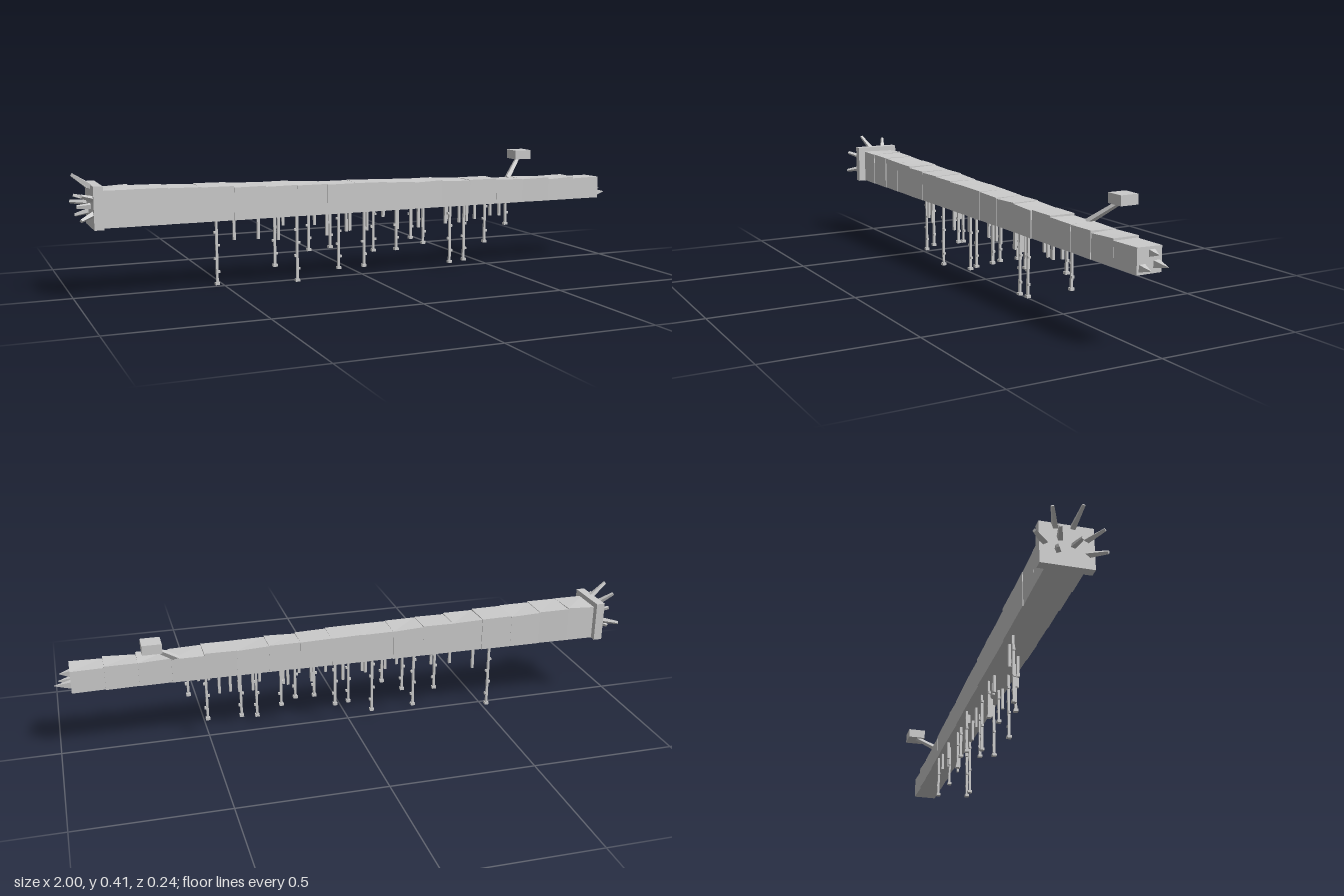
import * as THREE from 'three';

const bark = new THREE.MeshStandardMaterial({ color: 0xcccccc });
bark.name = 'pale grey';
bark.flatShading = true;

let seed = 7;
const rnd = () => (seed = (seed * 16807) % 2147483647) / 2147483647;
const jitter = (a) => (rnd() * 2 - 1) * a;

function add(parent, geo, name) {
  const m = new THREE.Mesh(geo, bark);
  m.name = name;
  parent.add(m);
  return m;
}

function box(parent, name, w, h, d, x, y, z) {
  return add(parent, new THREE.BoxGeometry(w, h, d).translate(x, y, z), name);
}

// four-sided tapered bar between two points
function bar(parent, name, from, to, r0, r1) {
  const a = new THREE.Vector3(...from), b = new THREE.Vector3(...to);
  const dir = b.clone().sub(a);
  const geo = new THREE.CylinderGeometry(r1, r0, dir.length(), 4).rotateY(Math.PI / 4);
  const m = add(parent, geo, name);
  m.position.copy(a).add(b).multiplyScalar(0.5);
  m.quaternion.setFromUnitVectors(new THREE.Vector3(0, 1, 0), dir.normalize());
  return m;
}

// one slightly skewed block of the trunk
function trunkBlock(parent, x0, x1, t) {
  const top = 0.352 - 0.042 * t, half = 0.058 - 0.016 * t;
  const geo = new THREE.BoxGeometry(1, 1, 1);
  const p = geo.attributes.position;
  const tops = [0, 1, 2, 3].map(() => top + jitter(0.003));
  const sides = [0, 1, 2, 3].map(() => half + jitter(0.0022));
  for (let i = 0; i < p.count; i++) {
    const right = p.getX(i) > 0, front = p.getZ(i) > 0;
    const k = (right ? 1 : 0) + (front ? 2 : 0);
    p.setXYZ(i, right ? x1 : x0, p.getY(i) > 0 ? tops[k] : 0.231,
      0.012 + (front ? 1 : -1) * sides[k]);
  }
  geo.computeVertexNormals();
  add(parent, geo, 'trunkBlock');
}

// hanging strand with small nodules and a knob at its end
function vine(parent, x, bottom, z) {
  const g = new THREE.Group();
  g.name = 'vine';
  parent.add(g);
  box(g, 'strand', 0.008, 0.235 - bottom, 0.008, x, (0.235 + bottom) / 2, z);
  box(g, 'knob', 0.015, 0.009, 0.015, x, bottom + 0.0045, z);
  let side = 1;
  for (let y = bottom + 0.045; y < 0.21; y += 0.045) {
    box(g, 'nodule', 0.008, 0.008, 0.009, x + side * 0.006, y, z);
    side = -side;
  }
}

export function createModel() {
  const model = new THREE.Group();
  model.name = 'fallenLog';

  // trunk
  const trunk = new THREE.Group();
  trunk.name = 'trunk';
  model.add(trunk);
  const n = 17, start = -0.92, end = 0.945, step = (end - start) / n;
  for (let i = 0; i < n; i++) {
    trunkBlock(trunk, start + i * step, start + (i + 1) * step, i / (n - 1));
  }

  // root collar and splayed roots, as [y, z, x] of each tip
  box(model, 'rootCollar', 0.03, 0.138, 0.165, -0.925, 0.299, 0.013);
  const tips = [
    [0.403, 0.047, -0.997], [0.392, -0.042, -0.985], [0.3, -0.097, -0.985],
    [0.266, 0.119, -0.983], [0.342, 0.114, -0.98],
    [0.3, 0.045, -0.985], [0.33, -0.02, -0.985], [0.265, -0.03, -0.98],
  ];
  for (const [y, z, x] of tips) {
    bar(model, 'root', [-0.93, 0.3 + (y - 0.3) * 0.55, 0.012 + (z - 0.012) * 0.55],
      [x, y, z], 0.011, 0.006);
  }

  // splinters at the broken end
  for (const [y, z, x] of [[0.29, 0.004, 0.978], [0.25, 0.037, 0.985], [0.257, -0.013, 0.999]]) {
    bar(model, 'splinter', [0.94, y, z], [x, y, z], 0.017, 0.001);
  }

  // twig with a leaf clump
  bar(model, 'twig', [0.595, 0.312, -0.02], [0.68, 0.385, -0.085], 0.011, 0.008);
  box(model, 'leafClump', 0.065, 0.033, 0.064, 0.683, 0.393, -0.087);

  // long vines
  const vines = [
    [-0.52, 0.002, -0.023], [-0.335, 0.06, 0.038], [-0.255, 0.002, 0.038],
    [-0.195, 0.095, -0.013], [-0.135, 0.11, 0.038], [-0.085, 0.024, -0.008],
    [-0.015, 0.038, 0.054], [0.055, 0.073, -0.026], [0.115, 0.085, 0.038],
    [0.195, 0.112, -0.013], [0.245, 0.09, -0.013], [0.32, 0.026, 0.052],
    [0.375, 0.031, 0.055], [0.505, 0.075, -0.026], [0.56, 0.147, 0.03],
  ];
  vines.forEach((v) => vine(model, ...v));
  model.children.filter((c) => c.name === 'vine')[0].position.y = -0.002;

  // fringe of short strands
  const fringe = [-0.46, -0.39, -0.325, -0.31, -0.24, -0.18, -0.15, -0.07, -0.06, 0.02,
    0.07, 0.085, 0.13, 0.165, 0.215, 0.23, 0.31, 0.345, 0.39, 0.42, 0.46, 0.485, 0.52];
  for (const x of fringe) {
    const low = 0.15 + rnd() * rnd() * 0.06;
    box(model, 'moss', 0.009, 0.235 - low, 0.009, x, (0.235 + low) / 2, 0.015 + jitter(0.042));
  }
  return model;
}
